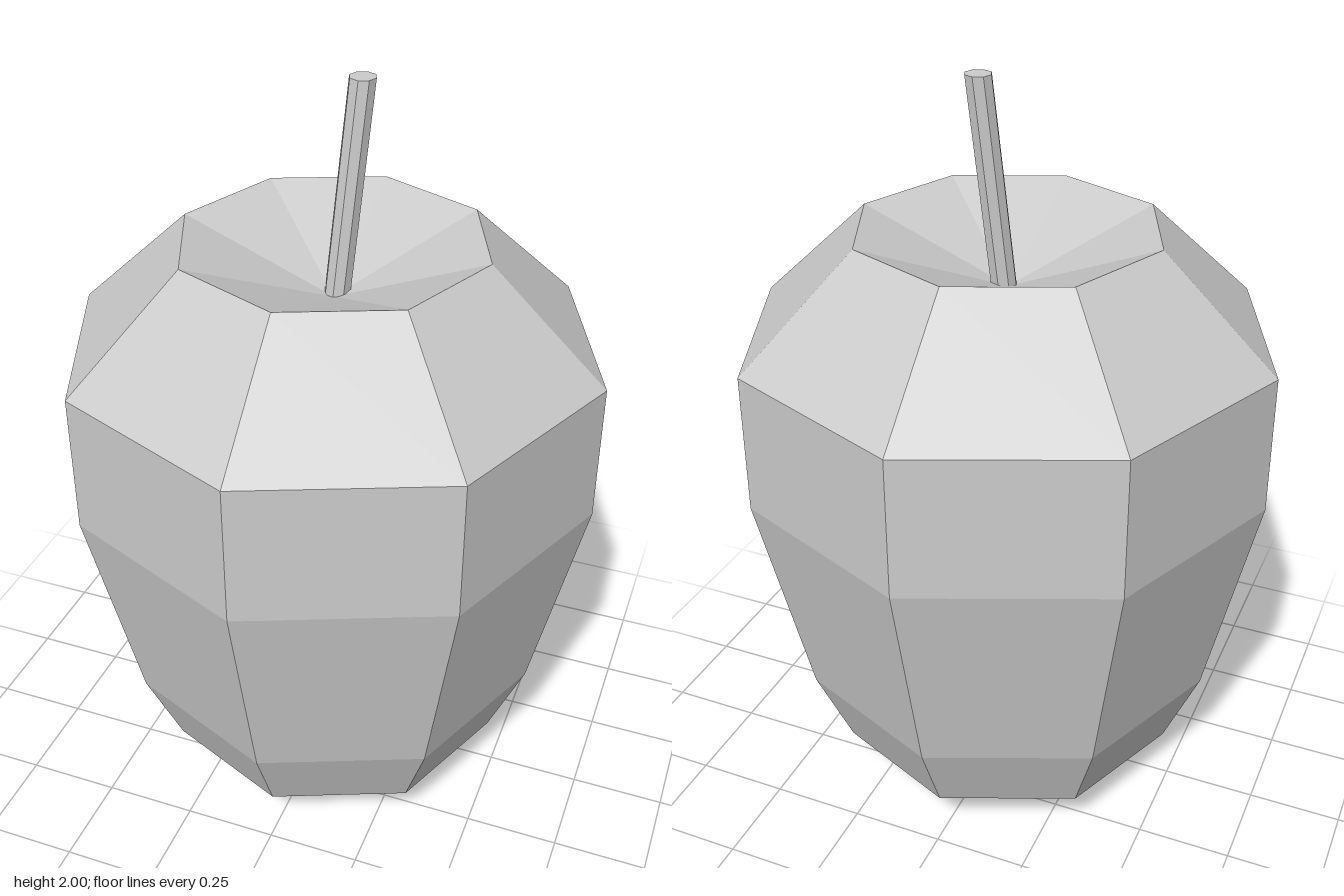
import * as THREE from 'three';

const material = new THREE.MeshStandardMaterial({ color: 0xcccccc, flatShading: true });

function facetedMesh(name, geometry) {
  const flat = geometry.toNonIndexed();
  flat.computeVertexNormals();
  const mesh = new THREE.Mesh(flat, material);
  mesh.name = name;
  return mesh;
}

export function createModel() {
  const group = new THREE.Group();
  group.name = 'apple';

  // Eight-sided body: flat base, tapering flanks, shoulder and sunken crown
  const profile = [
    [0, 0], [0.24, 0], [0.48, 0.135], [0.575, 0.36],
    [0.705, 0.955], [0.703, 1.325], [0.4, 1.61], [0, 1.45],
  ].map(([r, y]) => new THREE.Vector2(r, y));
  group.add(facetedMesh('body', new THREE.LatheGeometry(profile, 8)));

  // Thin stem rising from the hollow, leaning sideways and back
  const bottom = 1.43, top = 2;
  const stem = new THREE.CylinderGeometry(0.034, 0.034, top - bottom, 8);
  stem.translate(0, (top + bottom) / 2, 0);
  const pos = stem.attributes.position;
  for (let i = 0; i < pos.count; i++) {
    const drop = top - pos.getY(i);
    pos.setX(i, pos.getX(i) + 0.048 - 0.08 * drop);
    pos.setZ(i, pos.getZ(i) - 0.066 + 0.09 * drop);
  }
  group.add(facetedMesh('stem', stem));

  return group;
}
